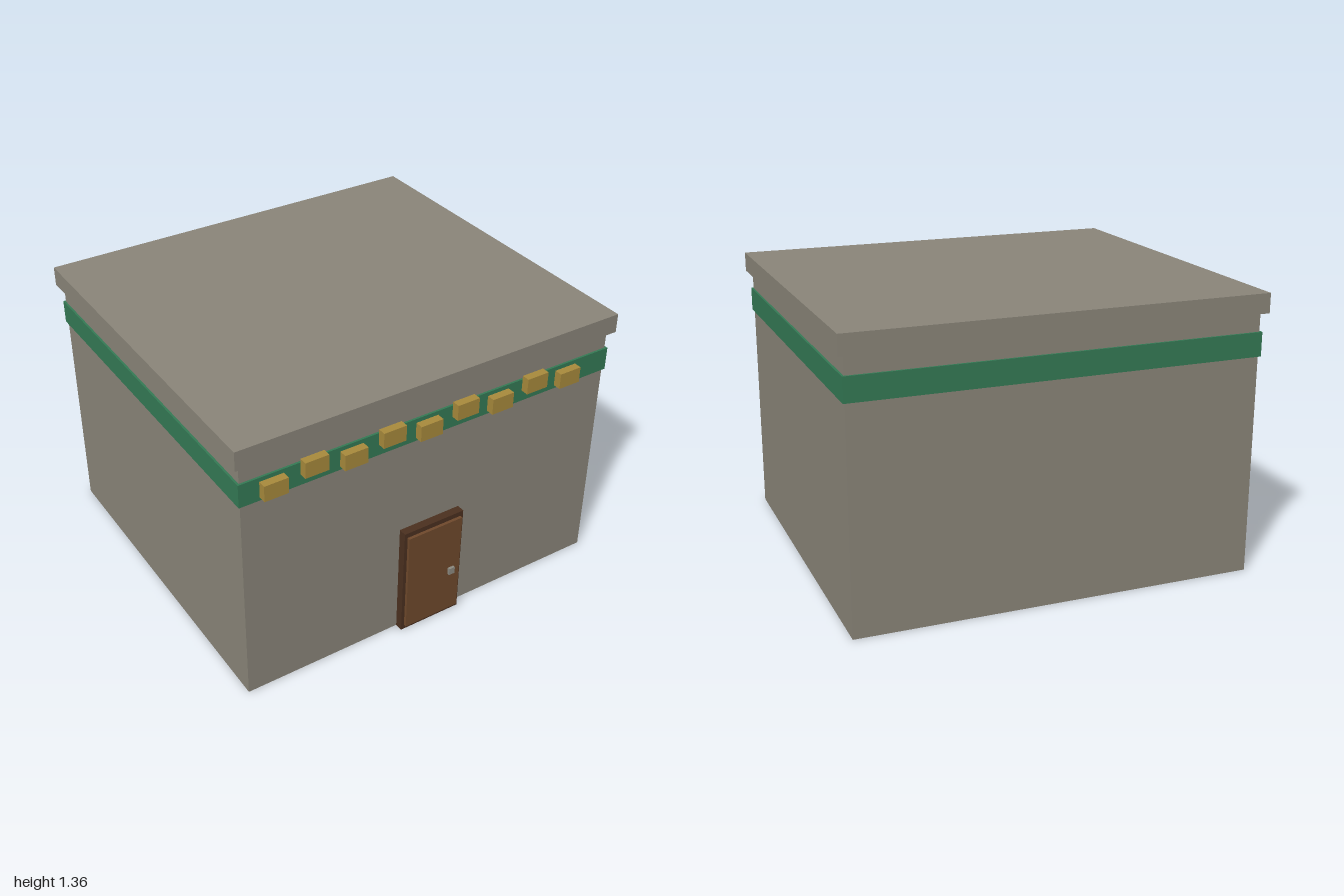
import * as THREE from 'three';

function material(name, color) {
  const m = new THREE.MeshStandardMaterial({ color });
  m.name = name;
  return m;
}

export function createModel() {
  const model = new THREE.Group();
  model.name = 'shop';

  const stone = material('stone', 0x8a8579);
  const green = material('green', 0x347a55);
  const gold = material('gold', 0xa88a3c);
  const darkWood = material('darkWood', 0x4b301f);
  const wood = material('wood', 0x6f492c);
  const metal = material('metal', 0x8c8a80);

  // Box given by its limits on each axis
  function box(name, mat, [x0, x1], [y0, y1], [z0, z1], parent = model) {
    const mesh = new THREE.Mesh(new THREE.BoxGeometry(x1 - x0, y1 - y0, z1 - z0), mat);
    mesh.position.set((x0 + x1) / 2, (y0 + y1) / 2, (z0 + z1) / 2);
    mesh.name = name;
    parent.add(mesh);
    return mesh;
  }

  // Building shell
  box('walls', stone, [-0.971, 0.971], [0, 1.266], [-0.892, 0.853]);
  box('roofSlab', stone, [-1, 1], [1.266, 1.36], [-0.921, 0.882]);
  box('signBand', green, [-0.981, 0.981], [1.062, 1.177], [-0.902, 0.863]);

  // Row of sign blocks, alternately low and high
  const blocks = new THREE.Group();
  blocks.name = 'signBlocks';
  model.add(blocks);
  for (let i = 0; i < 9; i++) {
    const x = -0.825 + i * 0.194;
    const y = i % 2 ? 1.157 : 1.118;
    box('signBlock', gold, [x - 0.058, x + 0.058], [y - 0.039, y + 0.039], [0.863, 0.902], blocks);
  }

  // Door
  const door = new THREE.Group();
  door.name = 'door';
  model.add(door);
  box('doorFrame', darkWood, [-0.165, 0.163], [0, 0.583], [0.853, 0.893], door);
  box('doorPanel', wood, [-0.149, 0.148], [0.025, 0.558], [0.893, 0.908], door);
  box('doorKnob', metal, [0.082, 0.114], [0.247, 0.283], [0.908, 0.921], door);

  return model;
}
